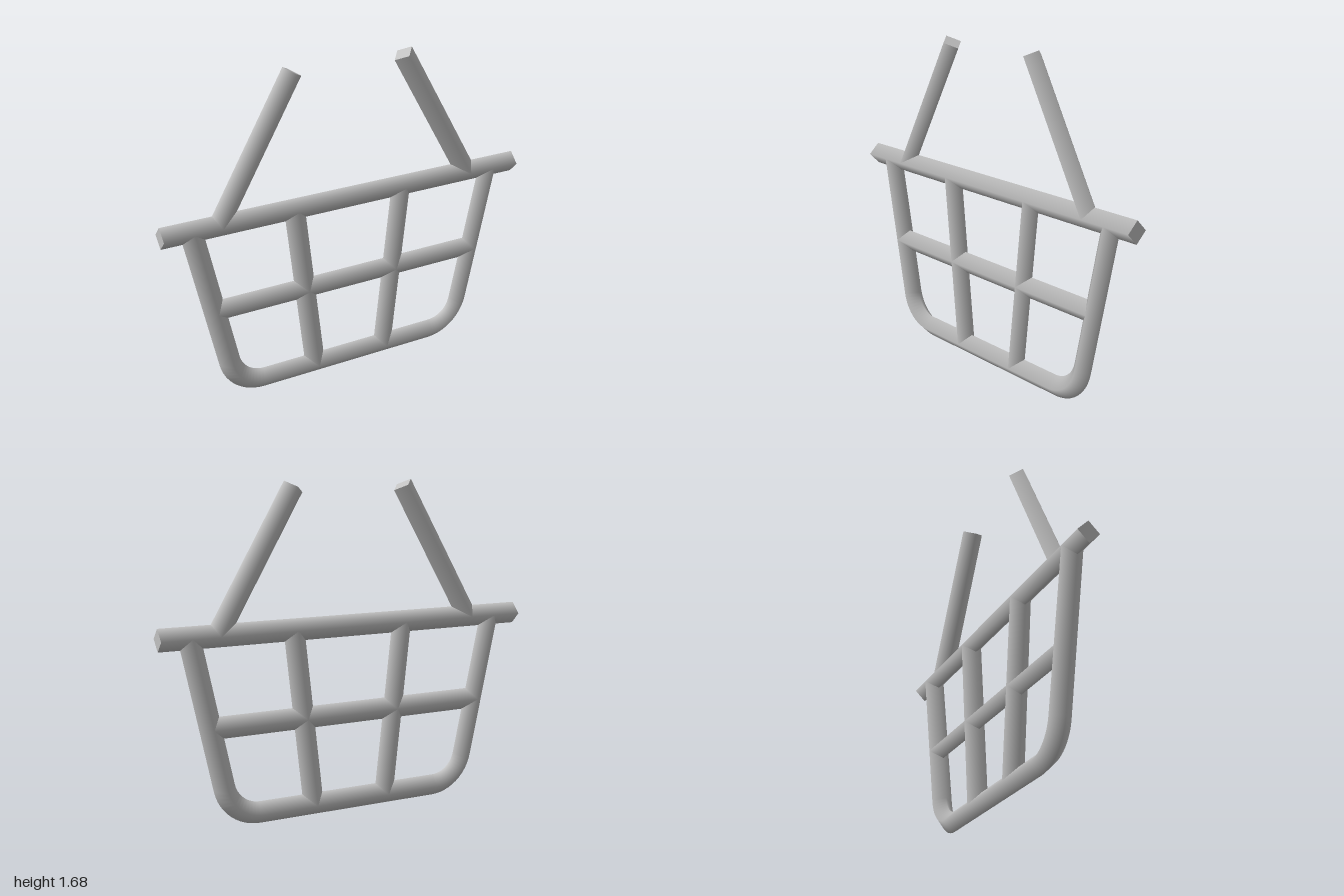
import * as THREE from 'three';

const R = 0.056; // half width of the diamond-section bars

export function createModel() {
  const group = new THREE.Group();
  const grey = new THREE.MeshStandardMaterial({ color: 0xc0c0c0 });
  grey.name = 'light grey';

  // straight four-sided bar between two points in the xy plane
  function bar(name, x1, y1, x2, y2) {
    const a = new THREE.Vector3(x1, y1, 0);
    const b = new THREE.Vector3(x2, y2, 0);
    const mesh = new THREE.Mesh(new THREE.CylinderGeometry(R, R, a.distanceTo(b), 4), grey);
    mesh.position.copy(a).add(b).multiplyScalar(0.5);
    mesh.rotation.z = Math.atan2(y2 - y1, x2 - x1) - Math.PI / 2;
    mesh.name = name;
    group.add(mesh);
  }

  // horizontal bars
  bar('rim', -1, 0.96, 1, 0.96);
  bar('middleRail', -0.75, 0.51, 0.75, 0.51);
  bar('bottomRail', -0.5, R, 0.5, R);

  // rounded lower corner: the sides lean out by 12 degrees
  const lean = THREE.MathUtils.degToRad(12);
  const bend = 0.19;
  const sweep = Math.PI / 2 - lean;
  const cx = 0.5, cy = R + bend;
  const sideX = cx + bend * Math.cos(lean);
  const sideY = cy - bend * Math.sin(lean);
  const sideTopX = sideX + (0.96 - sideY) * Math.tan(lean);

  for (const [side, s] of [['left', 1], ['right', -1]]) {
    const corner = new THREE.Mesh(new THREE.TorusGeometry(bend, R, 4, 12, sweep), grey);
    corner.position.set(s * cx, cy, 0);
    corner.rotation.z = s > 0 ? -Math.PI / 2 : Math.PI + lean;
    corner.name = side + 'Corner';
    group.add(corner);

    bar(side + 'Side', s * sideX, sideY, s * sideTopX, 0.96);
    bar(side + 'Upright', s * 0.205, R, s * 0.305, 0.96);
    bar(side + 'Handle', s * 0.705, 0.96, s * 0.303, 1.657);
  }
  return group;
}
